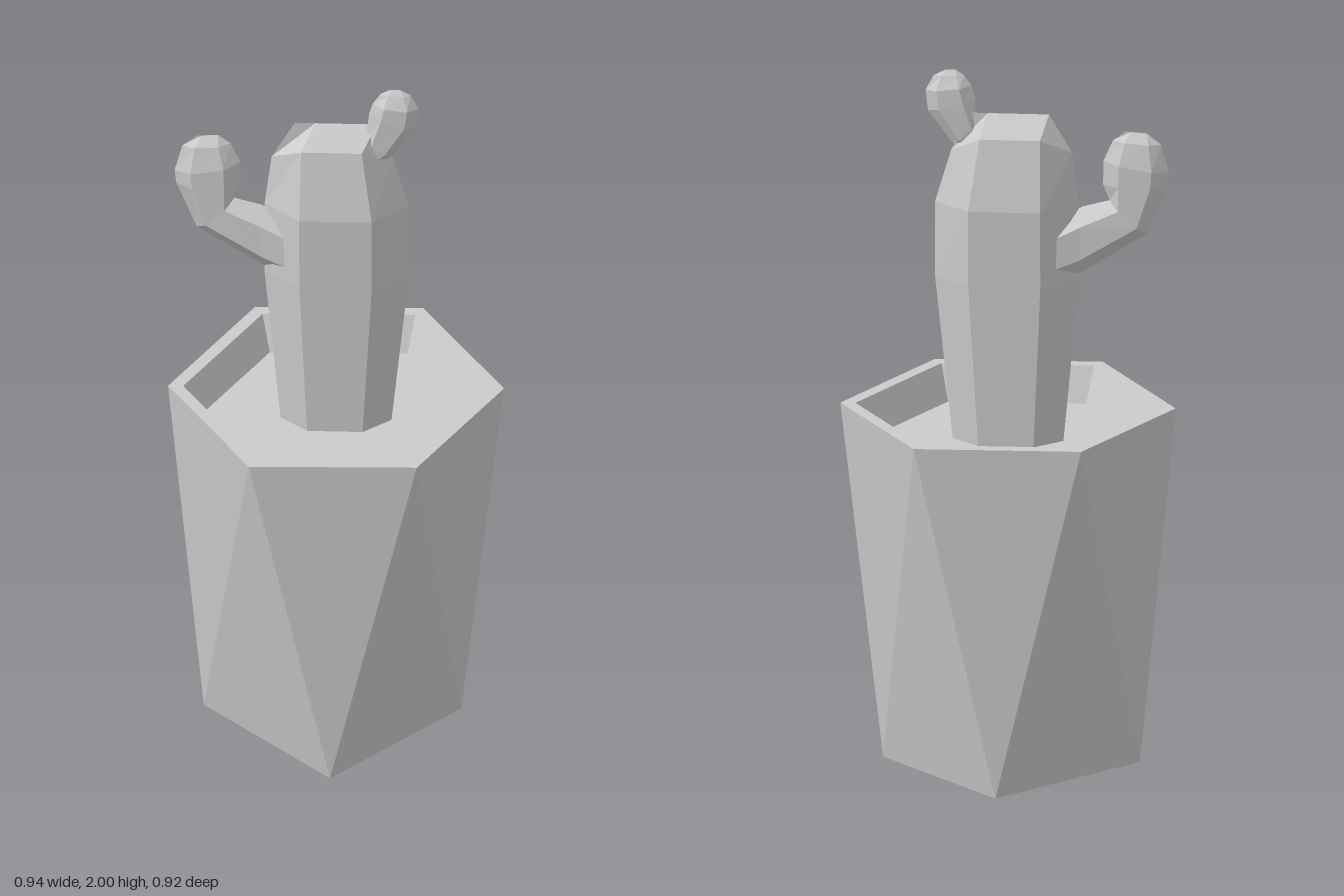
import * as THREE from 'three';

// Skin a list of six-point rings, closing both ends. Rings run -x, +z, +x, -z.
function loft(name, rings, { capStart = true, capEnd = true, flip = [] } = {}) {
  const pos = [];
  const tri = (a, b, c) => {
    const n = b.clone().sub(a).cross(c.clone().sub(a));
    if (n.length() > 1e-7) for (const p of [a, b, c]) pos.push(p.x, p.y, p.z);
  };
  for (let r = 0; r < rings.length - 1; r++) {
    const lo = rings[r], up = rings[r + 1];
    for (let i = 0; i < 6; i++) {
      const j = (i + 1) % 6;
      if (flip.includes(i)) {
        tri(lo[i], lo[j], up[i]);
        tri(lo[j], up[j], up[i]);
      } else {
        tri(lo[i], lo[j], up[j]);
        tri(lo[i], up[j], up[i]);
      }
    }
  }
  const first = rings[0], last = rings[rings.length - 1];
  for (let i = 1; i < 5; i++) {
    if (capStart) tri(first[0], first[i + 1], first[i]);
    if (capEnd) tri(last[0], last[i], last[i + 1]);
  }
  const geo = new THREE.BufferGeometry();
  geo.setAttribute('position', new THREE.Float32BufferAttribute(pos, 3));
  geo.computeVertexNormals();
  const mat = new THREE.MeshStandardMaterial({ color: 0xcccccc, flatShading: true });
  const mesh = new THREE.Mesh(geo, mat);
  mesh.name = name;
  return mesh;
}

// Flattened hexagon between edge points a and b, half depth d, flat sides raised by lift
function section([ax, ay, bx, by, d, lift = 0], z = 0) {
  const at = (t, depth) => new THREE.Vector3(
    ax + (bx - ax) * t, ay + (by - ay) * t + (depth === null ? 0 : lift), z + (depth ?? 0));
  return [at(0, null), at(0.25, d), at(0.75, d), at(1, null), at(0.75, -d), at(0.25, -d)];
}

const flatRing = (pts, y, s = 1) => pts.map(([x, z]) => new THREE.Vector3(x * s, y, z * s));

export function createModel() {
  const group = new THREE.Group();

  // Pot: six-sided rim narrowing to a four-cornered foot
  const rim = [[-0.47, 0.01], [-0.225, 0.457], [0.245, 0.443],
    [0.47, -0.015], [0.225, -0.46], [-0.245, -0.447]];
  const foot = [[-0.37, 0], [0, 0.4], [0, 0.4], [0.35, -0.01], [0, -0.4], [0, -0.4]];
  group.add(loft('pot', [flatRing(foot, 0), flatRing(rim, 1.03)],
    { capEnd: false, flip: [2, 5] }));

  // Flat lip and sloping inner wall
  group.add(loft('potLip',
    [flatRing(rim, 1.03), flatRing(rim, 1.03, 0.91), flatRing(rim, 0.93, 0.82)],
    { capStart: false, capEnd: false }));

  // Soil surface
  group.add(loft('soil', [flatRing(rim, 0.93, 0.82)], { capStart: false }));

  // Main stem, ending in a short ridge
  group.add(loft('stem', [
    [-0.155, 0.925, 0.155, 0.925, 0.072],
    [-0.2, 1.4, 0.205, 1.4, 0.093],
    [-0.2, 1.62, 0.205, 1.62, 0.1],
    [-0.18, 1.77, 0.16, 1.77, 0.063, 0.05],
    [-0.115, 1.88, 0.115, 1.88, 0],
  ].map((s) => section(s))));

  // Bent arm on the right-hand side
  group.add(loft('bentArm', [
    [-0.14, 1.4, -0.14, 1.58, 0.055],
    [-0.2, 1.42, -0.21, 1.615, 0.045],
    [-0.39, 1.54, -0.285, 1.635, 0.037],
    [-0.447, 1.68, -0.267, 1.68, 0.037],
    [-0.452, 1.72, -0.268, 1.75, 0.037],
    [-0.43, 1.8, -0.295, 1.81, 0.022],
    [-0.39, 1.832, -0.33, 1.836, 0],
  ].map((s) => section(s))));

  // Small bud near the top on the left-hand side
  group.add(loft('bud', [
    [0.06, 1.81, 0.12, 1.76, 0.015],
    [0.085, 1.85, 0.155, 1.785, 0.024],
    [0.093, 1.92, 0.226, 1.88, 0.029],
    [0.104, 1.955, 0.233, 1.94, 0.029],
    [0.125, 1.985, 0.21, 1.983, 0.012],
    [0.148, 2, 0.18, 2, 0],
  ].map((s) => section(s, 0.013))));

  return group;
}
